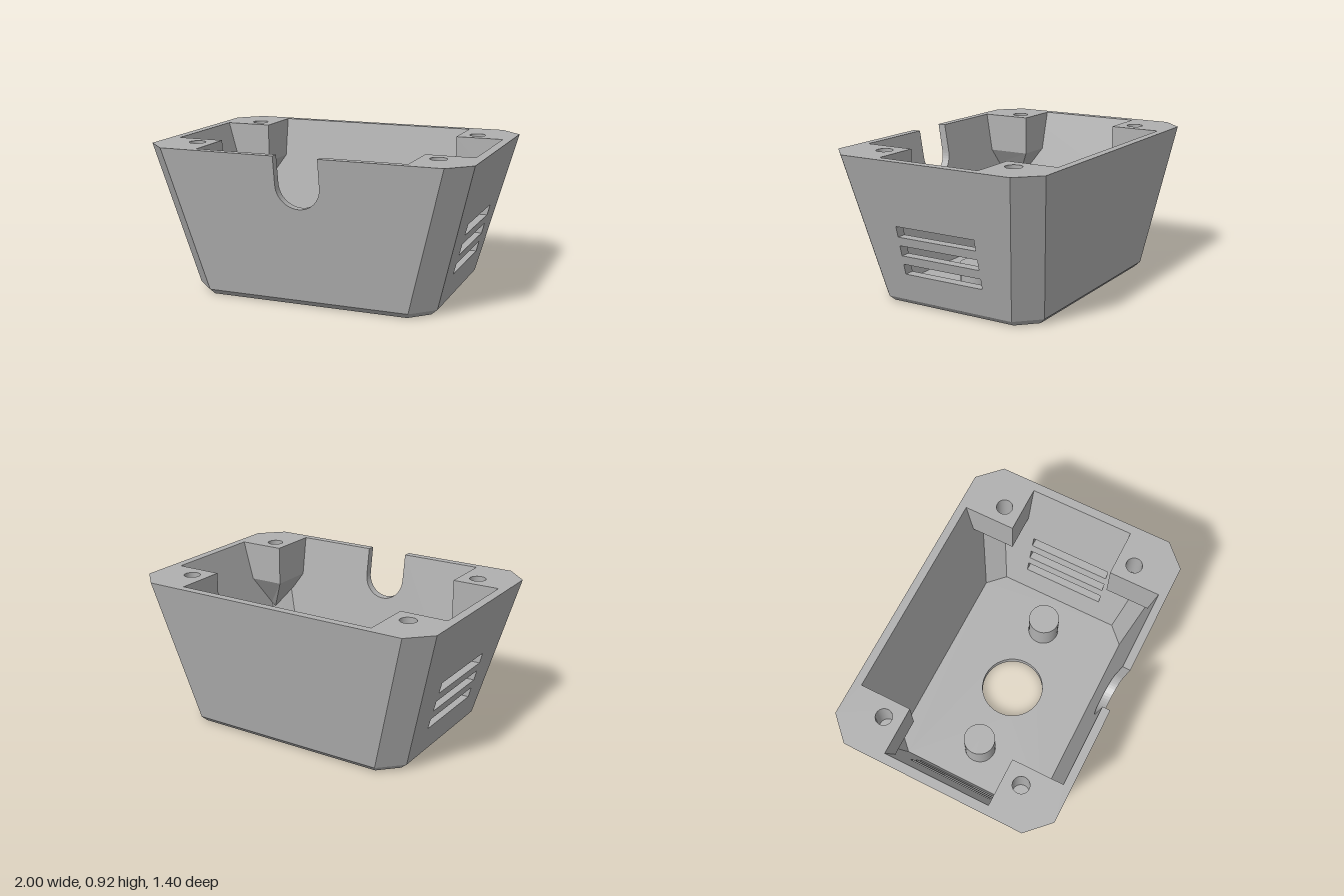
import * as THREE from 'three';

const TOP = 0.92, BEVEL = 0.035, FLOOR = 0.045;
const NOTCH_R = 0.137, NOTCH_Y = 0.747;

// Half sizes of the tapered shell at height y; c is the corner cut
const outer = {
  x: y => 0.77 + 0.26 * (y - BEVEL), z: y => 0.565 + 0.1525 * (y - BEVEL), c: 0.135, y0: BEVEL,
};
const inner = {
  x: y => 0.705 + 0.2743 * (y - FLOOR), z: y => 0.508 + 0.1623 * (y - FLOOR), c: 0.105, y0: FLOOR,
};
const V = (x, y, z) => new THREE.Vector3(x, y, z);

// Cut-corner rectangle as [x, z] points
const octagon = (x, z, c) => [
  [x, c - z], [x, z - c], [x - c, z], [c - x, z], [-x, z - c], [-x, c - z], [c - x, -z], [x - c, -z],
];
const ring = (s, y) => octagon(s.x(y), s.z(y), s.c).map(([x, z]) => V(x, y, z));
const shapeOf = pts => new THREE.Shape(pts.map(([x, y]) => new THREE.Vector2(x, y)));

function circle(x, y, r) {
  return new THREE.Path().absarc(x, y, r, 0, Math.PI * 2, false);
}

function roundedRect(x0, y0, x1, y1, r) {
  const p = new THREE.Shape();
  p.absarc(x1 - r, y0 + r, r, -Math.PI / 2, 0, false);
  p.absarc(x1 - r, y1 - r, r, 0, Math.PI / 2, false);
  p.absarc(x0 + r, y1 - r, r, Math.PI / 2, Math.PI, false);
  p.absarc(x0 + r, y0 + r, r, Math.PI, Math.PI * 1.5, false);
  p.closePath();
  return p;
}

export function createModel() {
  const model = new THREE.Group();
  const grey = new THREE.MeshStandardMaterial({ color: 0xb0b0b0, side: THREE.DoubleSide });
  grey.name = 'grey plastic';

  const add = (name, geo) => {
    const mesh = new THREE.Mesh(geo, grey);
    mesh.name = name;
    model.add(mesh);
    return mesh;
  };

  // Flat polygons given by their corners
  const polygons = (name, polys) => {
    const pts = [];
    for (const p of polys) {
      for (let i = 1; i < p.length - 1; i++) pts.push(p[0], p[i], p[i + 1]);
    }
    const geo = new THREE.BufferGeometry().setFromPoints(pts);
    geo.computeVertexNormals();
    return add(name, geo);
  };

  // Band joining two point rows
  const band = (name, a, b, closed = true) => {
    const quads = [];
    const n = closed ? a.length : a.length - 1;
    for (let i = 0; i < n; i++) {
      const j = (i + 1) % a.length;
      quads.push([a[i], a[j], b[j], b[i]]);
    }
    return polygons(name, quads);
  };

  // 2D shape laid on a surface by a mapping rule
  const skin = (name, shape, map) => {
    const geo = new THREE.ShapeGeometry(shape, 16).toNonIndexed();
    const pos = geo.attributes.position;
    for (let i = 0; i < pos.count; i++) {
      const p = map(pos.getX(i), pos.getY(i));
      pos.setXYZ(i, p.x, p.y, p.z);
    }
    geo.computeVertexNormals();
    return add(name, geo);
  };
  const level = y => (x, z) => V(x, y, z);
  const onX = (s, side) => (u, y) => V(side * s.x(y), y, u);
  const onZ = (s, side, inset = 0) => (u, y) => V(u, y, side * (s.z(y) - inset));
  const line = (path, map) => path.getPoints(16).map(p => map(p.x, p.y));

  // Wall outline in (along, height)
  const wall = (s, half) => [
    [s.c - half(s.y0), s.y0], [half(s.y0) - s.c, s.y0],
    [half(TOP) - s.c, TOP], [s.c - half(TOP), TOP],
  ];

  // Side walls with three vent slots each
  const slots = [[0.21, 0.275], [0.33, 0.395], [0.45, 0.517]].map(([a, b]) =>
    [[-0.267, a], [0.267, a], [0.267, b], [-0.267, b]]);
  for (const side of [-1, 1]) {
    for (const s of [outer, inner]) {
      const shape = shapeOf(wall(s, s.z));
      shape.holes = slots.map(shapeOf);
      skin('sideWall', shape, onX(s, side));
    }
    for (const slot of slots) {
      band('ventSlot', slot.map(p => onX(outer, side)(...p)), slot.map(p => onX(inner, side)(...p)));
    }
  }

  // Front wall with a round-bottomed cable notch
  const notch = [[NOTCH_R, TOP]];
  for (let i = 0; i <= 24; i++) {
    const a = -Math.PI * i / 24;
    notch.push([NOTCH_R * Math.cos(a), NOTCH_Y + NOTCH_R * Math.sin(a)]);
  }
  notch.push([-NOTCH_R, TOP]);
  for (const s of [outer, inner]) {
    const w = wall(s, s.x);
    skin('frontWall', shapeOf([...w.slice(0, 3), ...notch, w[3]]), onZ(s, 1));
  }
  band('cableNotch', notch.map(p => onZ(outer, 1)(...p)), notch.map(p => onZ(inner, 1)(...p)), false);

  // Back wall with a shallow rounded recess
  const recess = roundedRect(-0.555, 0.11, 0.555, 0.82, 0.11);
  const backShape = shapeOf(wall(outer, outer.x));
  backShape.holes = [recess];
  skin('backWall', backShape, onZ(outer, -1));
  skin('backWallInside', shapeOf(wall(inner, inner.x)), onZ(inner, -1));
  skin('recessPanel', recess, onZ(outer, -1, 0.022));
  band('recessEdge', line(recess, onZ(outer, -1)), line(recess, onZ(outer, -1, 0.022)));

  // Cut corners of the shell
  for (const s of [outer, inner]) {
    const lo = ring(s, s.y0), hi = ring(s, TOP);
    polygons('cutCorners', [1, 3, 5, 7].map(i => {
      const j = (i + 1) % 8;
      return [lo[i], lo[j], hi[j], hi[i]];
    }));
  }

  // Base: bevel, underside, floor and the large centre hole
  const base = octagon(0.73, 0.53, 0.11);
  band('baseBevel', ring(outer, BEVEL), base.map(([x, z]) => V(x, 0, z)));
  const under = shapeOf(base);
  under.holes = [circle(0, 0, 0.2), circle(-0.465, 0, 0.045), circle(0.465, 0, 0.045)];
  skin('underside', under, level(0));
  const floor = shapeOf(octagon(inner.x(FLOOR), inner.z(FLOOR), inner.c));
  floor.holes = [circle(0, 0, 0.2)];
  skin('floor', floor, level(FLOOR));

  const tube = (name, r, x, z, y0, y1, open = true) => {
    const mesh = add(name, new THREE.CylinderGeometry(r, r, y1 - y0, 32, 1, open));
    mesh.position.set(x, (y0 + y1) / 2, z);
  };
  const disc = (name, r, x, z, y) => {
    const mesh = add(name, new THREE.CircleGeometry(r, 32).rotateX(-Math.PI / 2));
    mesh.position.set(x, y, z);
  };
  tube('centreHole', 0.2, 0, 0, 0, FLOOR);

  // Bosses on the floor, with blind holes from below
  for (const x of [-0.465, 0.465]) {
    tube('boss', 0.1, x, 0, FLOOR, 0.235);
    disc('bossTop', 0.1, x, 0, 0.235);
    tube('bossHole', 0.045, x, 0, 0, 0.19);
    disc('bossHoleEnd', 0.045, x, 0, 0.19);
  }

  // Rim: outer edge round from the notch, then back along the inner edge
  const px = 0.65, pz = 0.33, iz = inner.z(TOP), ix = inner.x(TOP), oz = outer.z(TOP);
  const oct = octagon(outer.x(TOP), oz, outer.c);
  const rim = shapeOf([
    [NOTCH_R, oz], oct[2], oct[1], oct[0], oct[7], oct[6], oct[5], oct[4], oct[3], [-NOTCH_R, oz],
    [-NOTCH_R, iz], [-px, iz], [-px, pz], [-ix, pz], [-ix, -pz], [-px, -pz], [-px, -iz],
    [px, -iz], [px, -pz], [ix, -pz], [ix, pz], [px, pz], [px, iz], [NOTCH_R, iz],
  ]);
  const corners = [[1, 1], [-1, 1], [-1, -1], [1, -1]];
  rim.holes = corners.map(([sx, sz]) => circle(sx * 0.76, sz * 0.44, 0.05));
  skin('rim', rim, level(TOP));

  // Corner screw posts with tapered undersides
  const low = 0.67;
  for (const [sx, sz] of corners) {
    const P = (x, y, z) => V(sx * x, y, sz * z);
    const apex = P(0.8, 0.44, 0.48), edge = P(px, low, pz);
    const endX = P(inner.x(low), low, pz), endZ = P(px, low, inner.z(low));
    polygons('screwPost', [
      [P(px, TOP, pz), P(ix, TOP, pz), endX, edge],
      [P(px, TOP, pz), P(px, TOP, iz), endZ, edge],
      [edge, endX, P(0.822, 0.47, 0.467), apex],
      [edge, endZ, P(0.72, 0.567, 0.593), apex],
    ]);
    tube('screwHole', 0.05, sx * 0.76, sz * 0.44, 0.72, TOP);
    disc('screwHoleEnd', 0.05, sx * 0.76, sz * 0.44, 0.72);
  }
  return model;
}
